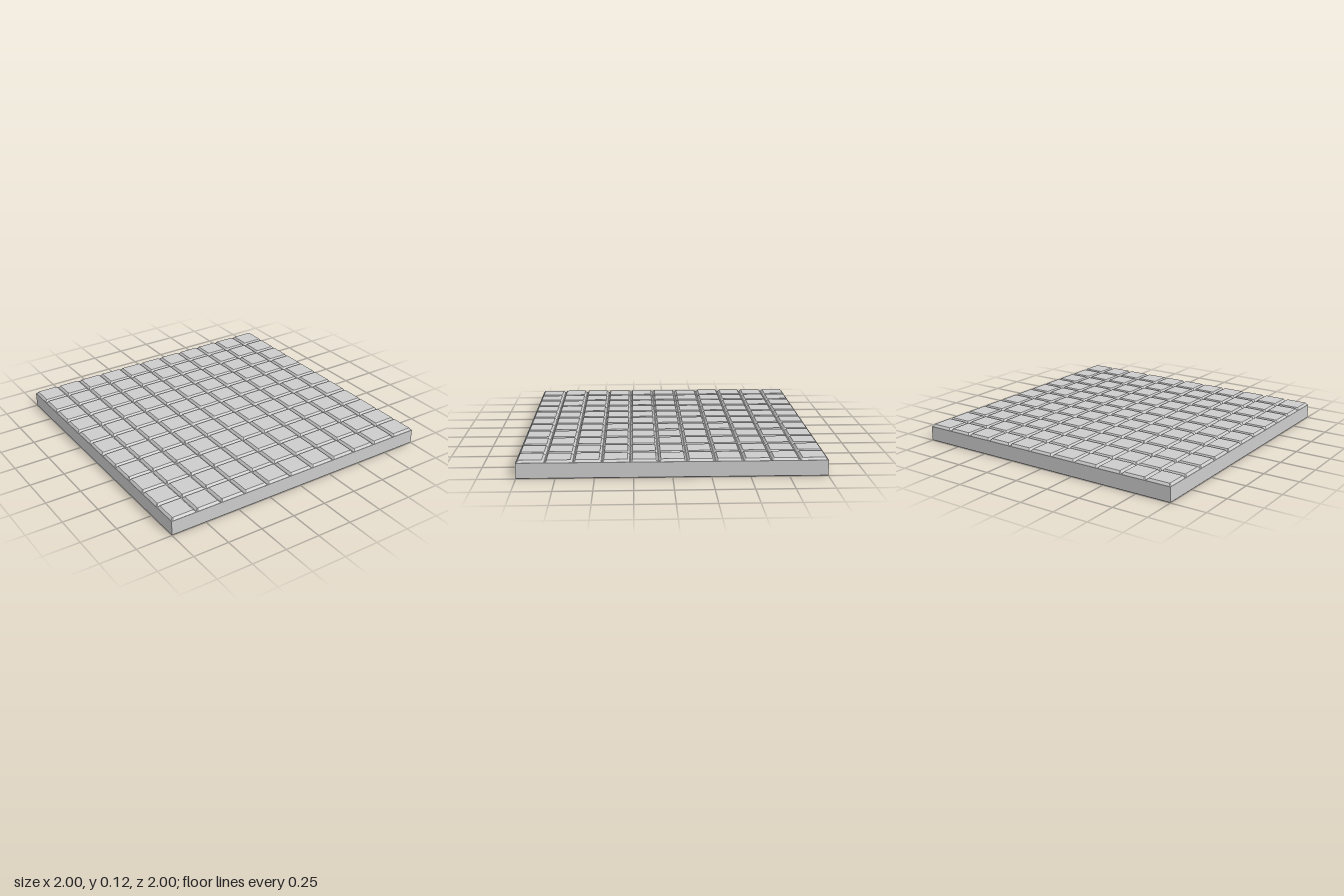
import * as THREE from 'three';

const TILES = 11;
const PITCH = 2 / TILES;
const FLOOR = 0.104; // bottom of the grooves
const TOP = 0.12;

// Square outline with cut corners, counterclockwise seen from above
function outline([half, cut, y]) {
  const k = half - cut;
  return [
    [half, k], [half, -k], [k, -half], [-k, -half],
    [-half, -k], [-half, k], [-k, half], [k, half],
  ].map(([x, z]) => new THREE.Vector3(x, y, z));
}

// Skin a stack of outlines, each given as [half width, corner cut, height]
function loft(sections) {
  const rings = sections.map(outline);
  const points = [];
  const addTriangle = (a, b, c) => {
    if (new THREE.Triangle(a, b, c).getArea() > 1e-9) points.push(a, b, c);
  };
  for (let r = 0; r < rings.length - 1; r++) {
    for (let i = 0; i < 8; i++) {
      const j = (i + 1) % 8;
      addTriangle(rings[r][i], rings[r][j], rings[r + 1][j]);
      addTriangle(rings[r][i], rings[r + 1][j], rings[r + 1][i]);
    }
  }
  const geometry = new THREE.BufferGeometry().setFromPoints(points);
  geometry.computeVertexNormals();
  return geometry;
}

export function createModel() {
  const group = new THREE.Group();
  group.name = 'tiledSlab';
  const material = new THREE.MeshStandardMaterial({ color: 0xcccccc, flatShading: true });

  // Slab underside and walls; the tiles close it on top
  const slab = new THREE.Mesh(
    loft([[0, 0, 0], [0.997, 0, 0], [1, 0, 0.003], [1, 0, FLOOR]]),
    material
  );
  slab.name = 'slab';
  group.add(slab);

  // One tile: strip of groove floor, bevelled edge, flat top
  const half = PITCH / 2;
  const tileGeometry = loft([
    [half, 0, FLOOR],
    [half - 0.002, 0.008, FLOOR],
    [half - 0.015, 0.003, TOP],
    [0, 0, TOP],
  ]);
  const tiles = new THREE.Group();
  tiles.name = 'tiles';
  for (let row = 0; row < TILES; row++) {
    for (let col = 0; col < TILES; col++) {
      const tile = new THREE.Mesh(tileGeometry, material);
      tile.name = 'tile';
      tile.position.set((col + 0.5) * PITCH - 1, 0, (row + 0.5) * PITCH - 1);
      tiles.add(tile);
    }
  }
  group.add(tiles);
  return group;
}
